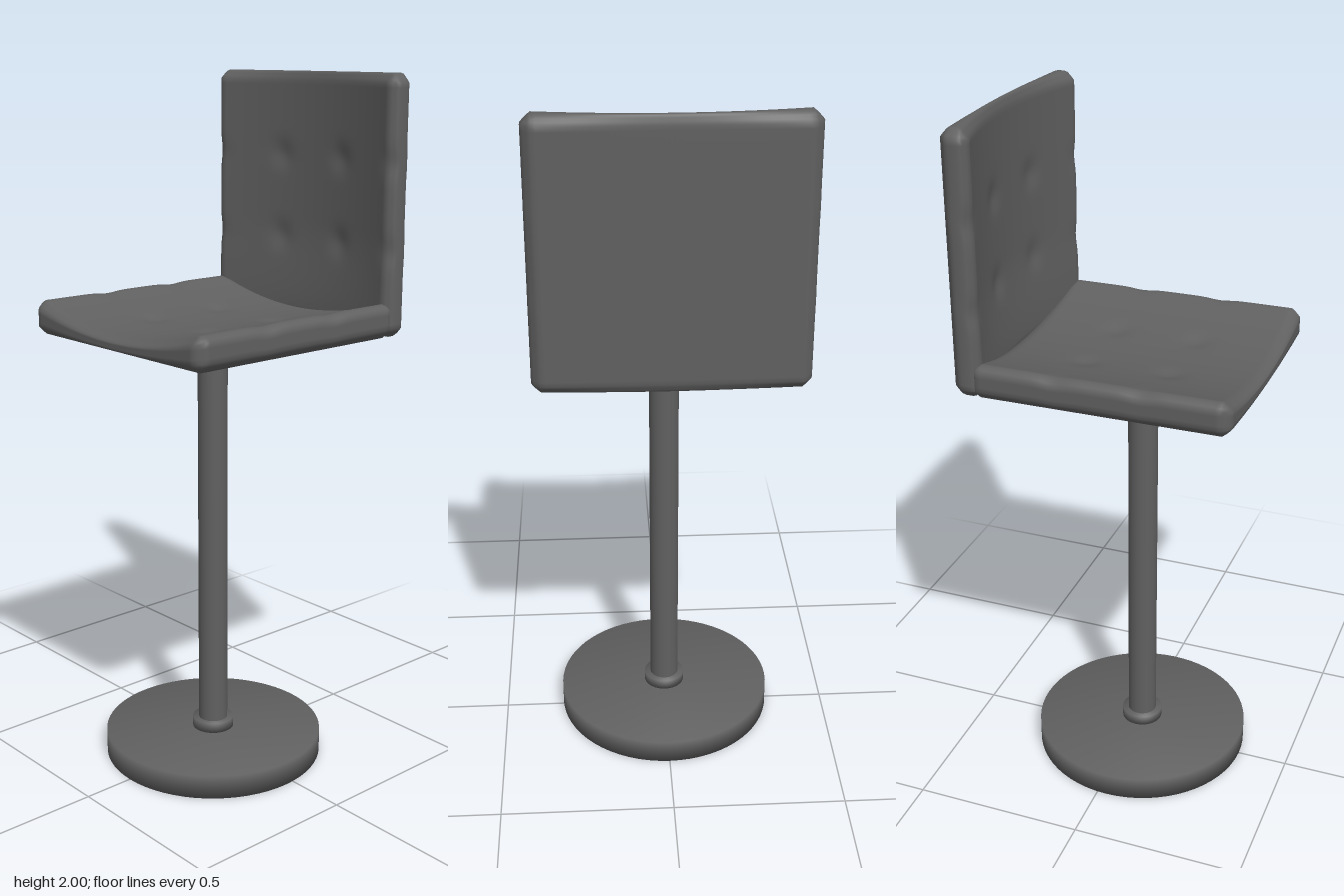
import * as THREE from 'three';
import { mergeVertices } from 'three/addons/utils/BufferGeometryUtils.js';

const WIDTH = 0.725;
const material = new THREE.MeshStandardMaterial({ color: 0x606060 });

// Welds all corners so the shading runs smoothly over the edges
function smooth(geo) {
  geo.deleteAttribute('uv');
  geo.deleteAttribute('normal');
  const merged = mergeVertices(geo, 1e-5);
  merged.computeVertexNormals();
  return merged;
}

// Bevelled slab lying in xz with its base at y = 0; the upper face is hollowed across z and tufted.
function cushionGeometry(length, thickness, bevel, dishAt) {
  const geo = new THREE.BoxGeometry(length, thickness, WIDTH, 56, 8, 56);
  const half = new THREE.Vector3(length, thickness, WIDTH).multiplyScalar(0.5);
  const inner = half.clone().subScalar(bevel);
  const outer = inner.clone().negate();
  const pos = geo.attributes.position;
  const p = new THREE.Vector3();
  const core = new THREE.Vector3();
  for (let i = 0; i < pos.count; i++) {
    p.fromBufferAttribute(pos, i);
    // bevel the edges
    core.copy(p).clamp(outer, inner);
    p.sub(core);
    p.multiplyScalar(bevel / p.manhattanLength()).add(core);
    // hollow, plus button dimples on a three-by-three quilt
    const z = p.z / half.z;
    let drop = dishAt((p.x + half.x) / length) * (1 - z * z);
    for (const bx of [-1 / 3, 1 / 3]) {
      for (const bz of [-1, -1 / 3, 1 / 3, 1]) {
        const d2 = (p.x - bx * half.x) ** 2 + (p.z - bz * half.z) ** 2;
        drop += 0.008 * Math.exp(-d2 / 0.0014);
      }
    }
    const y = p.y + half.y;
    pos.setXYZ(i, p.x, y - drop * (y / thickness), p.z);
  }
  return smooth(geo);
}

function addMesh(group, name, geometry, x, y) {
  const mesh = new THREE.Mesh(geometry, material);
  mesh.name = name;
  mesh.position.set(x, y, 0);
  group.add(mesh);
  return mesh;
}

export function createModel() {
  const group = new THREE.Group();
  group.name = 'barStool';

  // Cushions: the seat, and the same slab stood upright along the +x side
  addMesh(group, 'seat', cushionGeometry(0.726, 0.106, 0.025, () => 0.065), -0.024, 1.277);
  const backDish = (u) => 0.044 + 0.016 * THREE.MathUtils.smoothstep(u, 0.05, 0.4);
  const back = addMesh(group, 'backrest', cushionGeometry(0.723, 0.087, 0.025, backDish), 0.386, 1.6385);
  back.rotation.z = Math.PI / 2;

  // Pedestal
  const axis = -0.027;
  const disc = (radius, height) => new THREE.CylinderGeometry(radius, radius, height, 64);
  addMesh(group, 'base', smooth(disc(0.323, 0.07)), axis, 0.035);
  addMesh(group, 'collar', smooth(disc(0.061, 0.03)), axis, 0.085);
  addMesh(group, 'post', disc(0.043, 1.175), axis, 0.6875);
  return group;
}
